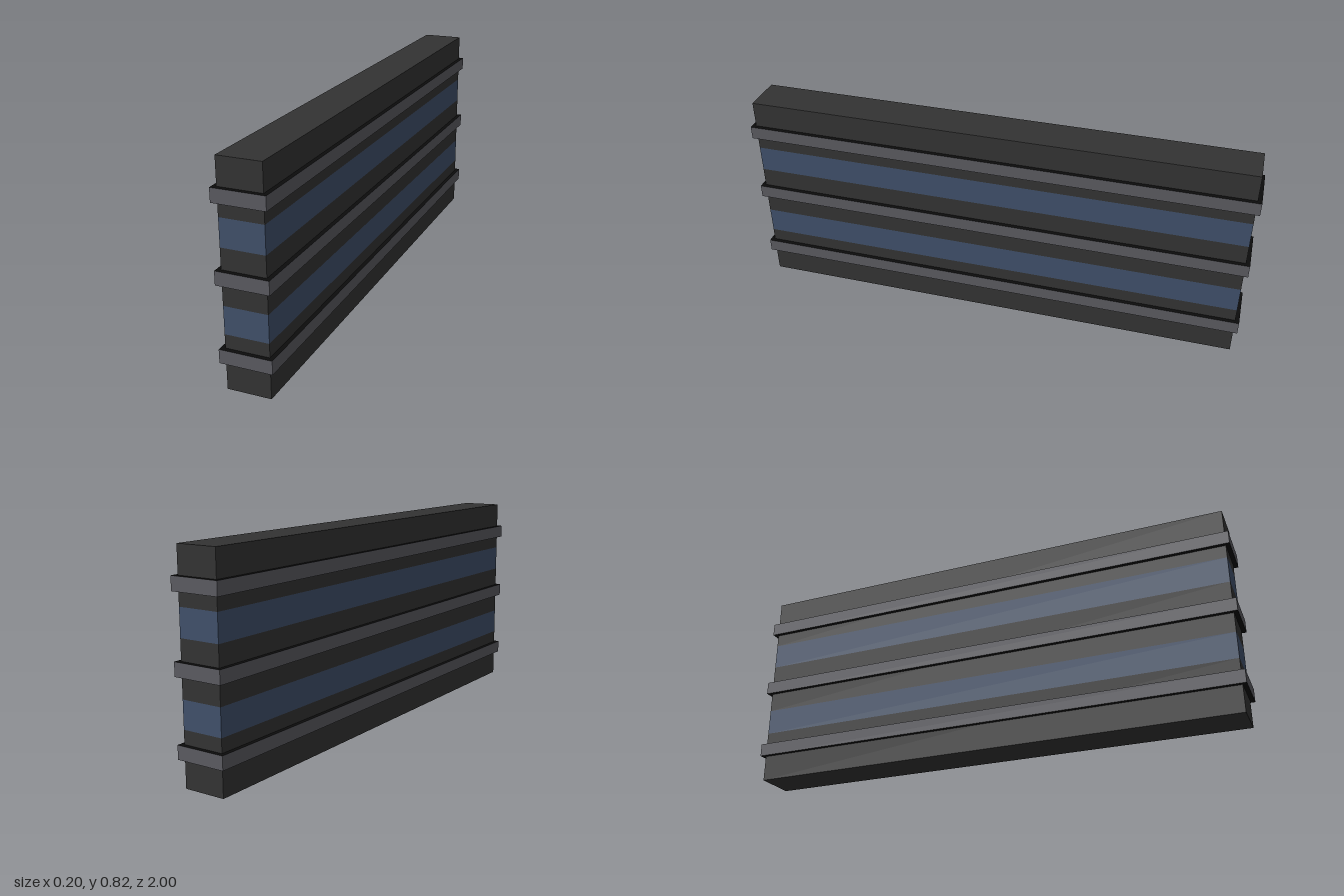
import * as THREE from 'three';

const WIDTH = 0.164, LENGTH = 1.968; // wall footprint
const LEDGE_OUT = 0.016;             // how far each ledge stands proud

const paint = (color) => new THREE.MeshStandardMaterial({ color });

// Box spanning y0..y1, widened by "out" on every side
function slab(name, y0, y1, out, material) {
  const geometry = new THREE.BoxGeometry(WIDTH + 2 * out, y1 - y0, LENGTH + 2 * out);
  const mesh = new THREE.Mesh(geometry, material);
  mesh.name = name;
  mesh.position.y = (y0 + y1) / 2;
  return mesh;
}

export function createModel() {
  const model = new THREE.Group();
  model.name = 'wallPanel';

  const dark = paint(0x333333);
  const blue = paint(0x40506a);
  const grey = paint(0x5a5a60);
  const black = paint(0x0c0c0c);

  // Wall core: dark courses alternating with flush blue stripes
  const levels = [0, 0.205, 0.308, 0.513, 0.616, 0.82];
  for (let i = 0; i < levels.length - 1; i++) {
    const striped = i % 2 === 1;
    model.add(slab(striped ? 'blueStripe' : 'wallCourse', levels[i], levels[i + 1], 0, striped ? blue : dark));
  }

  // Raised ledges: grey sides, black top and underside
  const ledgeFaces = [grey, grey, black, black, grey, grey];
  for (const y of [0.103, 0.385, 0.667]) {
    model.add(slab('ledge', y, y + 0.051, LEDGE_OUT, ledgeFaces));
  }

  return model;
}
